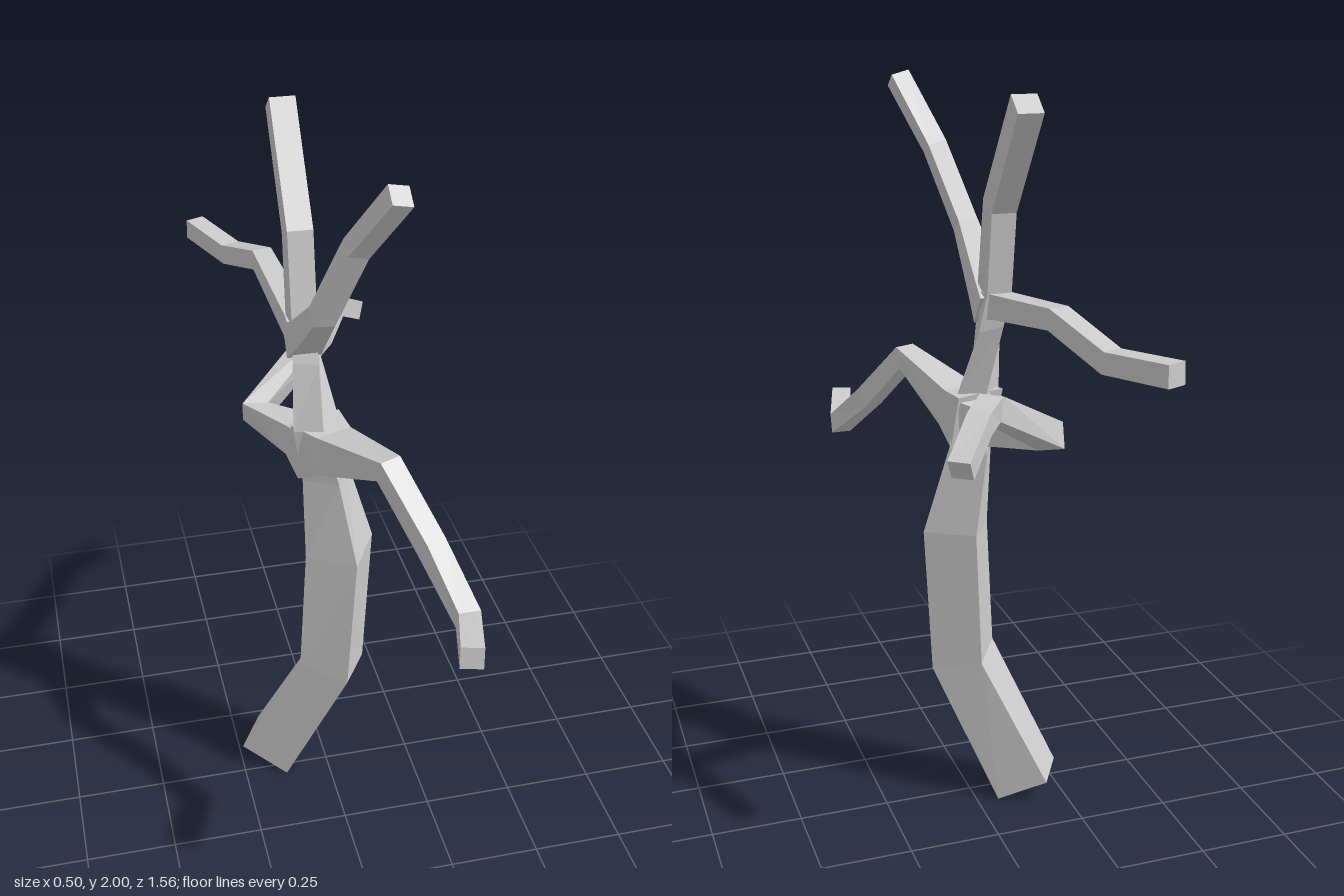
import * as THREE from 'three';

const V = (a) => new THREE.Vector3(...a);
const material = new THREE.MeshStandardMaterial({ color: 0xcccccc, flatShading: true });

// Skin a stack of four-cornered rings and cap both ends.
function loft(name, rings) {
  const pos = [];
  const quad = (a, b, c, d) => [a, b, c, a, c, d].forEach((p) => pos.push(p.x, p.y, p.z));
  for (let r = 0; r < rings.length - 1; r++) {
    const lo = rings[r], hi = rings[r + 1];
    for (let i = 0; i < 4; i++) {
      const j = (i + 1) % 4;
      quad(lo[i], lo[j], hi[j], hi[i]);
    }
  }
  quad(...[...rings[0]].reverse());
  quad(...rings[rings.length - 1]);
  const geo = new THREE.BufferGeometry();
  geo.setAttribute('position', new THREE.Float32BufferAttribute(pos, 3));
  geo.computeVertexNormals();
  const mesh = new THREE.Mesh(geo, material);
  mesh.name = name;
  return mesh;
}

// Square-section limb along points [x, y, z, half width].
// Without a fixed side direction its sides stay level.
function limb(name, path, sideAxis) {
  const pts = path.map((p) => V(p.slice(0, 3)));
  const dir = (i) => pts[i + 1].clone().sub(pts[i]).normalize();
  const last = pts.length - 1;
  const rings = pts.map((p, i) => {
    const t = i === 0 ? dir(0) : i === last ? dir(last - 1) : dir(i - 1).add(dir(i)).normalize();
    const u = sideAxis ? V(sideAxis) : new THREE.Vector3(0, 1, 0).cross(t);
    u.addScaledVector(t, -u.dot(t)).normalize();
    const v = t.clone().cross(u);
    const h = path[i][3];
    return [[-1, -1], [1, -1], [1, 1], [-1, 1]].map(([a, b]) =>
      p.clone().addScaledVector(u, a * h).addScaledVector(v, b * h));
  });
  return loft(name, rings);
}

export function createModel() {
  const tree = new THREE.Group();
  tree.name = 'bareTree';

  // Trunk and leader: three corners per ring (left, front, right); the back one completes it.
  const trunk = [
    [[-0.25, 0.07, -0.03], [-0.13, 0, 0.04], [-0.06, 0, -0.08]],
    [[-0.09, 0.44, 0.065], [0.03, 0.41, 0.14], [0.105, 0.40, 0.015]],
    [[-0.07, 0.81, 0.06], [0.055, 0.81, 0.135], [0.13, 0.82, 0.005]],
    [[-0.07, 1.04, 0.03], [0.015, 1.05, 0.09], [0.06, 1.06, -0.01]],
    [[-0.095, 1.2, 0.04], [-0.02, 1.2, 0.06], [0.035, 1.2, 0.0]],
    [[-0.092, 1.39, 0.025], [-0.025, 1.38, 0.025], [-0.005, 1.38, -0.06]],
    [[-0.088, 1.5, 0], [-0.022, 1.5, 0], [-0.022, 1.48, -0.075]],
    [[-0.088, 1.72, -0.04], [-0.022, 1.72, -0.04], [-0.022, 1.69, -0.105]],
    [[-0.088, 1.99, -0.235], [-0.022, 1.99, -0.235], [-0.022, 1.95, -0.285]],
  ].map((ring) => {
    const [a, b, c] = ring.map(V);
    return [a, b, c, a.clone().add(c).sub(b)];
  });
  tree.add(loft('trunk', trunk));

  // Branches
  tree.add(limb('lowerFrontBranch', [
    [-0.02, 1.13, 0.0, 0.075], [0.01, 1.15, 0.08, 0.052], [0.085, 1.23, 0.31, 0.03],
    [0.16, 1.08, 0.445, 0.029], [0.213, 0.96, 0.595, 0.028], [0.165, 0.99, 0.77, 0.028],
  ]));
  tree.add(limb('lowerBackBranch', [
    [-0.02, 1.12, 0.0, 0.07], [-0.06, 1.125, -0.07, 0.045], [-0.15, 1.13, -0.205, 0.035],
    [0.065, 1.27, -0.35, 0.031], [0.14, 1.28, -0.49, 0.028], [0.22, 1.21, -0.595, 0.027],
  ]));
  tree.add(limb('upperFrontBranch', [
    [-0.055, 1.43, -0.03, 0.045], [-0.055, 1.47, 0.03, 0.038], [-0.058, 1.61, 0.21, 0.027],
    [0.002, 1.81, 0.29, 0.026], [0.065, 1.98, 0.418, 0.026],
  ], [1, 0, 0]));
  tree.add(limb('upperBackBranch', [
    [-0.055, 1.44, -0.02, 0.04], [-0.06, 1.45, -0.08, 0.032], [-0.085, 1.49, -0.40, 0.027],
    [-0.14, 1.43, -0.59, 0.027], [-0.215, 1.44, -0.77, 0.027],
  ]));

  return tree;
}
